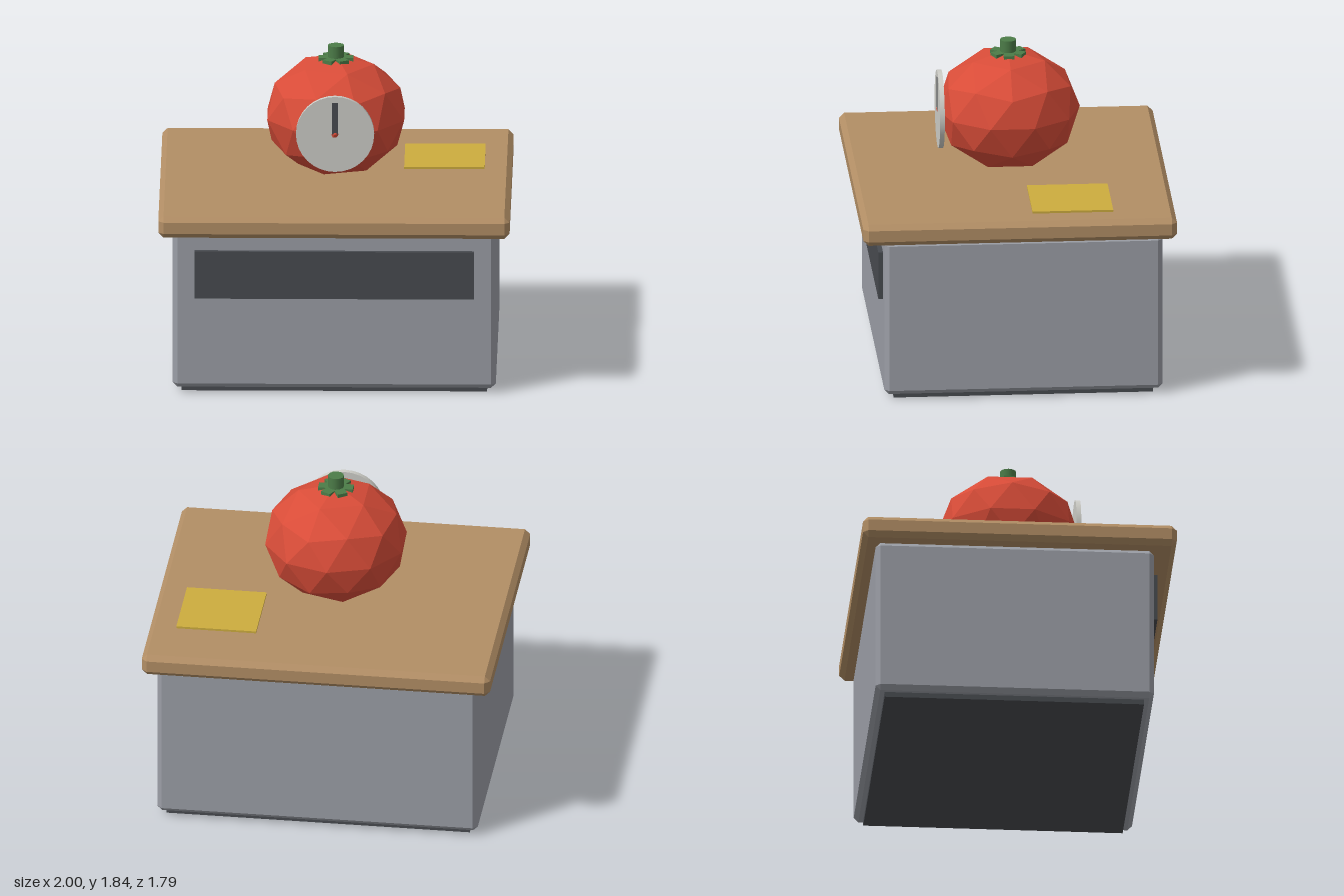
import * as THREE from 'three';
import { ConvexGeometry } from 'three/addons/geometries/ConvexGeometry.js';

function material(name, color) {
  const m = new THREE.MeshStandardMaterial({ color });
  m.name = name;
  return m;
}

// Box between two corners
function boxBetween(min, max) {
  const size = max.map((v, i) => v - min[i]);
  const mid = max.map((v, i) => (v + min[i]) / 2);
  return new THREE.BoxGeometry(...size).translate(...mid);
}

// Box between two corners with every edge cut at 45 degrees
function chamferedBox(min, max, c) {
  const half = max.map((v, i) => (v - min[i]) / 2);
  const mid = max.map((v, i) => (v + min[i]) / 2);
  const points = [];
  for (const sx of [-1, 1]) for (const sy of [-1, 1]) for (const sz of [-1, 1]) {
    for (let axis = 0; axis < 3; axis++) {
      const p = [sx, sy, sz].map((s, i) => mid[i] + s * (half[i] - (i === axis ? 0 : c)));
      points.push(new THREE.Vector3(...p));
    }
  }
  return new ConvexGeometry(points);
}

export function createModel() {
  const model = new THREE.Group();
  model.name = 'tomatoTimerOnCabinet';

  const wood = material('wood', 0xb28e65);
  const grey = material('cabinet grey', 0x9b9ea6);
  const dark = material('dark grey', 0x484b50);
  const red = material('tomato red', 0xd84c38);
  const green = material('leaf green', 0x4c7c48);
  const silver = material('dial silver', 0xcdcdc7);
  const yellow = material('note yellow', 0xcdac3e);
  red.flatShading = true;

  const add = (name, geometry, mat, parent = model) => {
    const mesh = new THREE.Mesh(geometry, mat);
    mesh.name = name;
    parent.add(mesh);
    return mesh;
  };

  // Cabinet
  add('plinth', boxBetween([-0.87, 0, -0.765], [0.87, 0.035, 0.715]), dark);
  add('cabinetBody', chamferedBox([-0.92, 0.03, -0.818], [0.92, 0.953, 0.77], 0.027), grey);
  add('drawerFront', boxBetween([-0.795, 0.57, 0.76], [0.795, 0.85, 0.797]), dark);
  add('tableTop', chamferedBox([-1, 0.953, -0.895], [1, 1.08, 0.895], 0.03), wood);
  add('stickyNote', boxBetween([0.387, 1.078, -0.54], [0.845, 1.092, -0.08]), yellow);

  // Tomato: squashed faceted ball standing on a five-sided pole
  const timer = new THREE.Group();
  timer.name = 'tomatoTimer';
  timer.position.y = 1.43;
  model.add(timer);
  const ball = new THREE.IcosahedronGeometry(1, 1);
  ball.rotateZ(-Math.atan(2 / (1 + Math.sqrt(5)))).scale(0.41, 0.35, 0.41);
  ball.computeVertexNormals();
  add('tomatoBody', ball, red, timer);

  // Stalk and six leaves
  add('stalk', new THREE.CylinderGeometry(0.046, 0.046, 0.09, 12).translate(0, 0.365, 0), green, timer);
  for (let i = 0; i < 6; i++) {
    const leaf = new THREE.BoxGeometry(0.1, 0.022, 0.06).translate(0.05, 0.33, 0);
    add('leaf', leaf.rotateY(i * Math.PI / 3), green, timer);
  }

  // Dial and hand on the front
  const dial = new THREE.CylinderGeometry(0.223, 0.223, 0.027, 32).rotateX(Math.PI / 2);
  add('dial', dial.translate(0, 0, 0.3895), silver, timer);
  add('dialHand', boxBetween([-0.016, 0, 0.399], [0.016, 0.188, 0.406]), dark, timer);

  return model;
}
